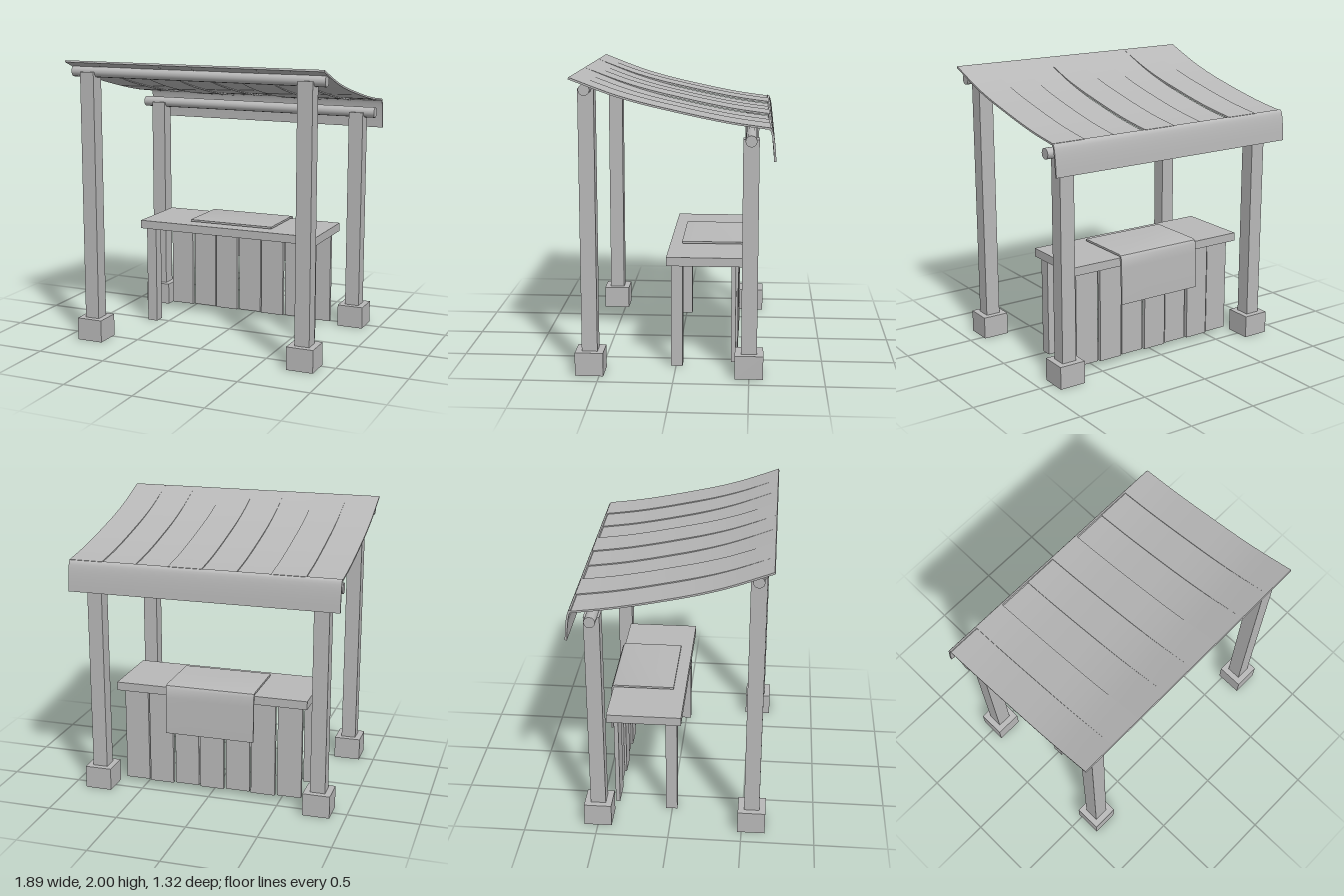
import * as THREE from 'three';
import { toCreasedNormals } from 'three/addons/utils/BufferGeometryUtils.js';

export function createModel() {
  const model = new THREE.Group();
  model.name = 'marketStall';
  const grey = new THREE.MeshStandardMaterial({ color: 0xb8b8b8 });
  grey.name = 'plain grey';

  const add = (name, geometry, x = 0, y = 0, z = 0) => {
    const mesh = new THREE.Mesh(geometry, grey);
    mesh.name = name;
    mesh.position.set(x, y, z);
    model.add(mesh);
    return mesh;
  };
  // Box given by its centre in x and z and its bottom and top heights
  const box = (name, x, z, y0, y1, w, d) =>
    add(name, new THREE.BoxGeometry(w, y1 - y0, d), x, (y0 + y1) / 2, z);

  // Cloth sheet: [z, y] upper outline, thickened inwards and swept from x0 to x1
  const sheet = (name, outline, thickness, x0, x1) => {
    const under = outline.map(([z, y], i) => {
      const a = outline[Math.max(i - 1, 0)];
      const b = outline[Math.min(i + 1, outline.length - 1)];
      const dz = b[0] - a[0], dy = b[1] - a[1], l = Math.hypot(dz, dy);
      return [z - (dy / l) * thickness, y + (dz / l) * thickness];
    });
    const shape = new THREE.Shape(
      [...outline, ...under.reverse()].map(([z, y]) => new THREE.Vector2(z, y)));
    const geometry = new THREE.ExtrudeGeometry(shape, { depth: x1 - x0, bevelEnabled: false });
    geometry.rotateY(-Math.PI / 2).translate(x1, 0, 0);
    return add(name, toCreasedNormals(geometry, 0.6));
  };
  const curve = (points, n) =>
    new THREE.SplineCurve(points.map(([z, y]) => new THREE.Vector2(z, y)))
      .getPoints(n).map((p) => [p.x, p.y]);

  // Posts on square footings, tall in front and short behind, with cross poles
  const rows = [
    { place: 'front', z: 0.567, top: 1.92 },
    { place: 'back', z: -0.499, top: 1.6 },
  ];
  for (const { place, z, top } of rows) {
    for (const x of [-0.8, 0.8]) {
      box(place + 'Post', x, z, 0.16, top, 0.105, 0.105);
      box(place + 'Footing', x, z, 0, 0.16, 0.19, 0.19);
    }
    const pole = new THREE.CylinderGeometry(0.038, 0.038, 1.86, 12).rotateZ(Math.PI / 2);
    add(place + 'Pole', pole, 0, top, z);
  }

  // Sagging canopy in eight strips, stepping in a repeating run of three levels
  const slope = curve([[0.66, 2], [0.4, 1.904], [0.2, 1.846], [0, 1.8],
    [-0.2, 1.757], [-0.4, 1.72], [-0.62, 1.69]], 20);
  const half = 0.943, stripWidth = (2 * half) / 8;
  for (let i = 0; i < 8; i++) {
    const drop = (2 - ((i + 1) % 3)) * 0.008;
    const outline = slope.map(([z, y]) => [z, y - drop * Math.min(1, (0.66 - z) / 0.6)]);
    const x0 = -half + i * stripWidth;
    sheet('canopyStrip', outline, 0.013, x0, x0 + stripWidth);
  }
  // Valance hanging from the low rear edge
  const hang = curve([[-0.612, 1.69], [-0.629, 1.68], [-0.642, 1.635],
    [-0.652, 1.56], [-0.658, 1.475]], 10);
  sheet('valance', hang, 0.014, -half, half);

  // Counter with two front legs and a rear panel of staggered planks
  box('counterTop', 0, -0.193, 0.715, 0.775, 1.385, 0.515);
  for (const x of [-0.62, 0.62]) box('counterLeg', x, -0.005, 0, 0.715, 0.075, 0.08);
  for (let i = -3; i <= 3; i++) {
    box('backPlank', i * 0.188, i % 2 ? -0.39 : -0.403, 0.035, 0.715, 0.174, 0.03);
  }

  // Cloth laid on the counter and draped over its rear edge
  const drape = [[-0.02, 0.797], [-0.435, 0.797], [-0.455, 0.79],
    [-0.465, 0.77], [-0.469, 0.7], [-0.475, 0.44]];
  sheet('counterCloth', drape, 0.014, -0.32, 0.32);

  return model;
}
